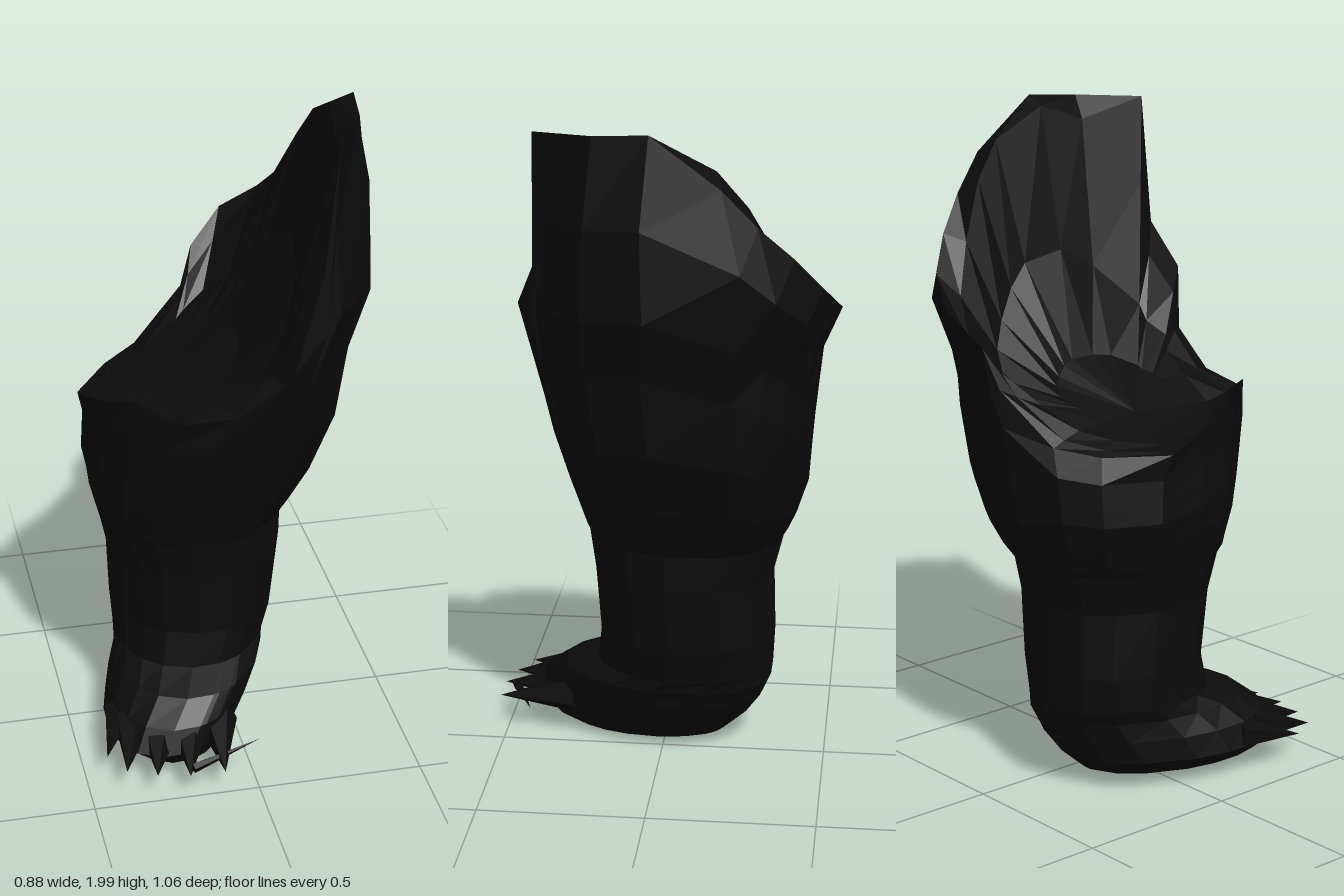
import * as THREE from 'three';

const hide = new THREE.MeshStandardMaterial({ color: 0x0c0c0c, flatShading: true, side: THREE.DoubleSide });
hide.name = 'black hide';

// Leg cross-sections: y, min x, max x, min z, max z, forward skew in x
const sections = [
  [0.006, -0.22, -0.06, -0.1, 0.28, 0.15],
  [0.04, -0.33, 0.0, -0.19, 0.37, 0.2],
  [0.10, -0.40, 0.035, -0.26, 0.42, 0.2],
  [0.17, -0.38, 0.08, -0.305, 0.39, 0.18],
  [0.23, -0.35, 0.115, -0.33, 0.32, 0.12],
  [0.27, -0.34, 0.13, -0.335, 0.215, 0.05],
  [0.38, -0.345, 0.16, -0.34, 0.2, 0],
  [0.58, -0.355, 0.18, -0.335, 0.215, 0.03],
  [0.70, -0.38, 0.185, -0.365, 0.235, 0.05],
  [0.76, -0.395, 0.22, -0.395, 0.25, 0.05],
  [0.86, -0.42, 0.285, -0.435, 0.28, 0.05],
  [1.07, -0.41, 0.36, -0.45, 0.335, 0.04],
  [1.32, -0.41, 0.378, -0.475, 0.385, 0],
  [1.46, -0.41, 0.44, -0.53, 0.405, 0],
  [1.60, -0.41, 0.44, -0.51, 0.36, 0],
  [1.80, -0.40, 0.42, -0.46, 0.38, 0],
  [2.00, -0.40, 0.38, -0.40, 0.38, 0],
];

// Slanted upper rim, high on the outer hip and low on the inner thigh
const rim = [
  [0.375, 2.0, 0], [0.35, 1.99, 0.16], [0.25, 1.98, 0.34], [0.21, 1.6, 0.345],
  [0.15, 1.46, 0.405], [0.1, 1.28, 0.365], [-0.04, 1.18, 0.35], [-0.2, 1.165, 0.325],
  [-0.305, 1.21, 0.25], [-0.385, 1.17, 0.14], [-0.415, 1.12, 0], [-0.42, 1.07, -0.13],
  [-0.31, 1.07, -0.3], [-0.2, 1.09, -0.385], [-0.04, 1.24, -0.45], [0, 1.36, -0.48],
  [0.1, 1.46, -0.53], [0.21, 1.54, -0.48], [0.28, 1.64, -0.4], [0.34, 1.74, -0.3], [0.37, 1.85, -0.2],
];

// Height of the cut face across x: shallow floor, then a steep hip wall
const cutFace = [[-0.42, 1.06], [-0.2, 1.12], [0, 1.22], [0.12, 1.33], [0.2, 1.48], [0.26, 1.75], [0.31, 1.95]];

function cutHeight(x) {
  let i = 0;
  while (i < cutFace.length - 2 && x > cutFace[i + 1][0]) i++;
  const [x0, y0] = cutFace[i], [x1, y1] = cutFace[i + 1];
  return y0 + (y1 - y0) * THREE.MathUtils.clamp((x - x0) / (x1 - x0), 0, 1);
}

// Raises a sine or cosine to a power to square the outline slightly
const squared = (v, power) => Math.sign(v) * Math.abs(v) ** power;

function sectionPoint(y, angle) {
  let i = 0;
  while (i < sections.length - 2 && y > sections[i + 1][0]) i++;
  const a = sections[i], b = sections[i + 1];
  const t = THREE.MathUtils.clamp((y - a[0]) / (b[0] - a[0]), 0, 1);
  const [x0, x1, z0, z1, skew] = a.slice(1).map((v, k) => v + (b[k + 1] - v) * t);
  const power = y > 0.71 ? 0.88 : 0.97;
  const dx = (x1 - x0) / 2 * squared(Math.cos(angle), power);
  const dz = (z1 - z0) / 2 * squared(Math.sin(angle), power);
  return [(x0 + x1) / 2 + dx - skew * dz, y, (z0 + z1) / 2 + dz];
}

function legGeometry() {
  const rows = [];
  const angles = rim.map(([x, , z]) => Math.atan2(z + 0.05, x));
  // Sole, foot and shin
  rows.push(rim.map(() => [-0.15, 0.015, 0.06]));
  for (const s of sections.slice(0, 9)) rows.push(angles.map(a => sectionPoint(s[0], a)));
  // Thigh stretched up to the slanted rim
  for (const f of [0.05, 0.13, 0.28, 0.46, 0.6, 0.8]) {
    rows.push(angles.map((a, i) => sectionPoint(0.7 + (rim[i][1] - 0.7) * f, a)));
  }
  rows.push(rim);
  // Cut face closing the top, easing from the rim into the floor
  for (const [t, ease] of [[0.12, 0.5], [0.3, 0.95], [0.6, 1], [1, 1]]) {
    rows.push(rim.map(([x, y, z]) => {
      const px = x + (-0.17 - x) * t;
      return [px, y + (cutHeight(px) - y) * ease, z + (-0.05 - z) * t];
    }));
  }
  const n = rim.length, index = [];
  for (let r = 0; r < rows.length - 1; r++) {
    for (let i = 0; i < n; i++) {
      const a = r * n + i, b = r * n + (i + 1) % n;
      index.push(a, a + n, b, b, a + n, b + n);
    }
  }
  const g = new THREE.BufferGeometry();
  g.setAttribute('position', new THREE.Float32BufferAttribute(rows.flat(2), 3));
  g.setIndex(index);
  g.computeVertexNormals();
  return g;
}

// Pointed cone running from a base to a tip
function spike(name, base, tip, radius) {
  const a = new THREE.Vector3(...base), b = new THREE.Vector3(...tip);
  const dir = b.clone().sub(a);
  const mesh = new THREE.Mesh(new THREE.ConeGeometry(radius, dir.length(), 5), hide);
  mesh.name = name;
  mesh.position.copy(a).add(b).multiplyScalar(0.5);
  mesh.quaternion.setFromUnitVectors(new THREE.Vector3(0, 1, 0), dir.normalize());
  return mesh;
}

export function createModel() {
  const group = new THREE.Group();
  group.name = 'clawedLeg';
  const leg = new THREE.Mesh(legGeometry(), hide);
  leg.name = 'leg';
  group.add(leg);

  // Broad tapering claws: base x, base z, tip x, tip z, radius
  const claws = [
    [-0.37, 0.19, -0.44, 0.38, 0.05], [-0.34, 0.26, -0.395, 0.465, 0.06], [-0.265, 0.3, -0.31, 0.505, 0.065],
    [-0.175, 0.3, -0.215, 0.527, 0.065], [-0.085, 0.28, -0.11, 0.527, 0.065],
  ];
  claws.forEach(([bx, bz, tx, tz, radius], i) => {
    group.add(spike('claw' + (i + 1), [bx, 0.13, bz], [tx, 0.1, tz], radius));
  });
  // Thin stray claw lying across the toes
  group.add(spike('strayClaw', [-0.2, 0.1, 0.49], [0.02, 0.12, 0.412], 0.015));
  return group;
}
